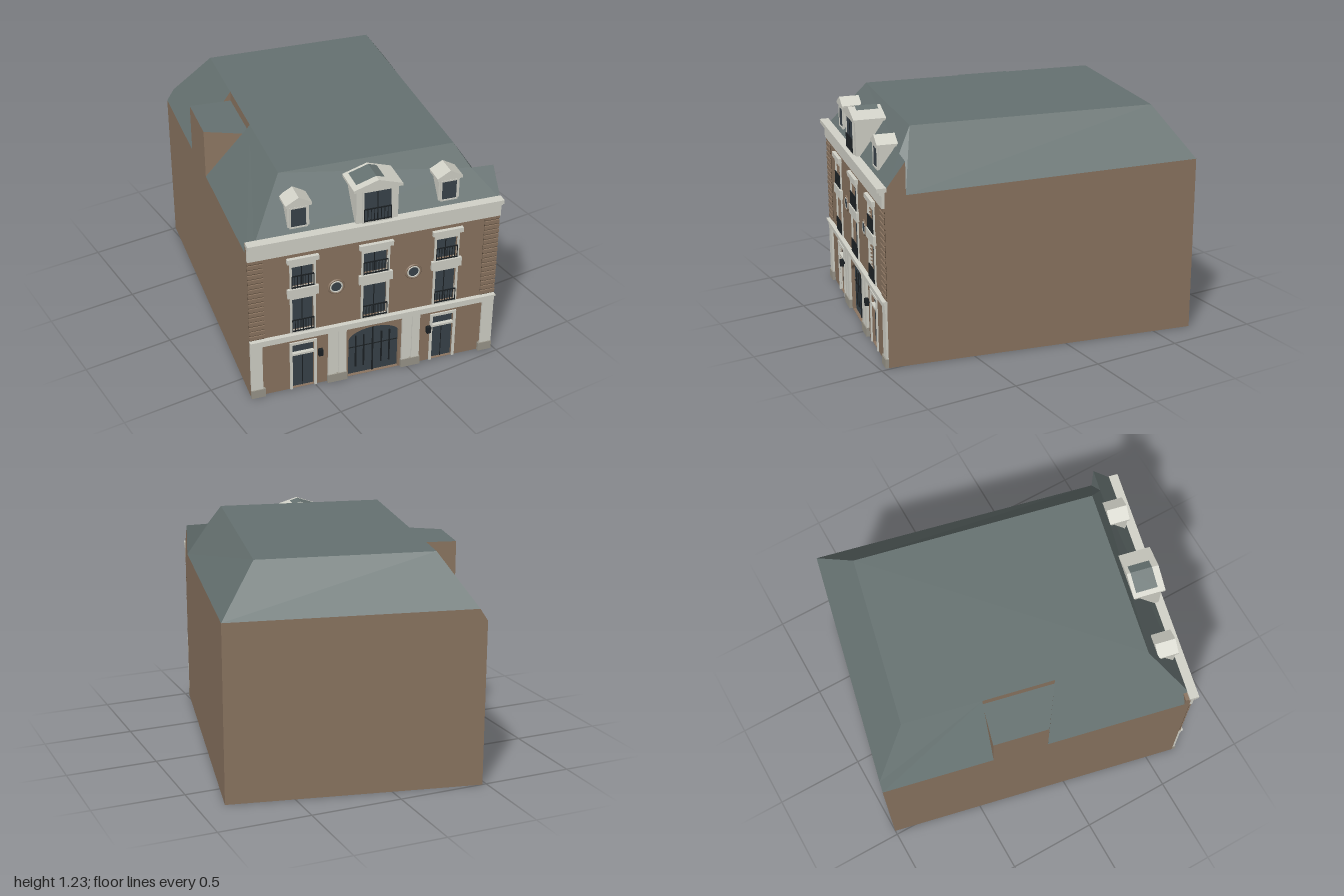
import * as THREE from 'three';

const mat = (name, color, side = THREE.FrontSide) =>
  new THREE.MeshStandardMaterial({ name, color, side });

export function createModel() {
  const brick = mat('brick', 0x8b7561, THREE.DoubleSide);
  const joint = mat('dark brick joint', 0x574838);
  const slate = mat('slate', 0x667271, THREE.DoubleSide);
  const cream = mat('cream stone', 0xd3d3c9);
  const stone = mat('grey plinth stone', 0x9b978b);
  const glass = mat('window glass', 0x3a444b);
  const gateWood = mat('gate wood', 0x39434a);
  const iron = mat('black iron', 0x1c2124);

  const model = new THREE.Group();
  const house = new THREE.Group();
  house.name = 'townHouse';
  house.rotation.y = -12.5 * Math.PI / 180;
  model.add(house);

  const add = (name, geo, m, x = 0, y = 0, z = 0) => {
    const mesh = new THREE.Mesh(geo, m);
    mesh.name = name;
    mesh.position.set(x, y, z);
    house.add(mesh);
    return mesh;
  };
  const box = (name, m, x0, x1, y0, y1, z0, z1) =>
    add(name, new THREE.BoxGeometry(x1 - x0, y1 - y0, z1 - z0), m,
      (x0 + x1) / 2, (y0 + y1) / 2, (z0 + z1) / 2);
  // Flat polygon, triangulated as a fan from its first corner
  const poly = (name, m, pts) => {
    const v = [];
    for (let i = 1; i < pts.length - 1; i++) v.push(...pts[0], ...pts[i], ...pts[i + 1]);
    const g = new THREE.BufferGeometry();
    g.setAttribute('position', new THREE.Float32BufferAttribute(v, 3));
    g.computeVertexNormals();
    return add(name, g, m);
  };
  const outline = (pts) => new THREE.Shape(pts.map(([x, y]) => new THREE.Vector2(x, y)));
  const rect = (x, hw, y0, y1) => outline([[x - hw, y0], [x + hw, y0], [x + hw, y1], [x - hw, y1]]);
  const extrude = (name, m, shape, z0, z1) =>
    add(name, new THREE.ExtrudeGeometry(shape, { depth: z1 - z0, bevelEnabled: false, curveSegments: 16 }), m, 0, 0, z0);

  const W = 0.682, F = 0.825, B = -0.875, T = 1.23;

  // Shell corners shared by walls and roof
  const topFR = [0.485, T, 0.637], topBR = [0.49, T, -0.69];
  const topBL = [-0.455, T, -0.69], topFL = [-0.455, T, 0.637];
  const eaveBR = [W, 0.965, B], eaveBL = [-0.64, 0.965, B], lowBL = [-W, 0.9, B];
  const eaveFL = [-0.64, 0.96, F], lowFL = [-W, 0.9, F], eaveFR = [W, 0.96, F];
  const stepLow = [W, 0.93, 0.715], stepTop = [W, 1.105, 0.715], stepIn = [0.557, 1.11, 0.713];

  // Side and back walls
  poly('rightWall', brick, [stepLow, stepTop, eaveFR, [W, 0, F], [W, 0, B], eaveBR]);
  poly('leftWall', brick, [[-W, 0, B], [-W, 0, F], lowFL, lowBL]);
  poly('backWall', brick, [[W, 0, B], [-W, 0, B], lowBL, eaveBL, eaveBR]);

  // Mansard roof, its left slope split around the side stair block
  const nb = [-W, 0.9, -0.27], nbTop = [-0.455, T, -0.26];
  const nf = [-W, 0.9, 0.03], nfTop = [-0.455, T, 0.129];
  poly('roofTop', slate, [topFL, topFR, topBR, topBL]);
  poly('roofFront', slate, [stepIn, topFR, topFL, eaveFL, eaveFR, stepTop]);
  poly('roofRight', slate, [stepLow, eaveBR, topBR, topFR, stepIn, stepTop]);
  poly('roofBack', slate, [topBL, topBR, eaveBR, eaveBL]);
  poly('roofLeftRear', slate, [nbTop, topBL, eaveBL, lowBL, nb]);
  poly('roofLeftFront', slate, [nfTop, nf, lowFL, eaveFL, topFL]);

  // Side block breaking through the left slope
  const H = 1.175;
  const bOut = [-W, H, -0.27], fOut = [-W, H, 0.03], bIn = [-0.455, H, -0.26], fIn = [-0.455, H, 0.129];
  poly('sideBlockWall', brick, [nb, nf, fOut, bOut]);
  poly('sideBlockRear', brick, [nb, bOut, bIn, nbTop]);
  poly('sideBlockFront', brick, [nf, nfTop, fIn, fOut]);
  poly('sideBlockTop', slate, [bOut, fOut, fIn, bIn]);
  poly('sideBlockInnerWall', brick, [bIn, fIn, nfTop, nbTop]);

  // Front wall with openings
  const wall = rect(0, W, 0, 0.96);
  const gateShape = () => {
    const s = new THREE.Shape();
    s.moveTo(-0.142, 0.001);
    s.lineTo(0.142, 0.001);
    s.lineTo(0.142, 0.235);
    s.absellipse(0, 0.235, 0.142, 0.068, 0, Math.PI, false);
    s.lineTo(-0.142, 0.001);
    return s;
  };
  wall.holes.push(gateShape());
  const bays = [[-0.393, 0.058], [0, 0.066], [0.393, 0.058]];
  for (const [x, hw] of bays) wall.holes.push(rect(x, hw, 0.38, 0.585), rect(x, hw, 0.655, 0.785));
  for (const x of [-0.393, 0.393]) wall.holes.push(rect(x, 0.06, 0.001, 0.29));
  extrude('frontWall', brick, wall, F - 0.03, F);

  // Tall upper windows, surrounds and balcony rails
  const rail = (x, hw, y0, y1, z) => {
    for (const y of [y0 + 0.006, y1]) box('balconyRail', iron, x - hw, x + hw, y - 0.003, y + 0.003, z, z + 0.005);
    const n = 8;
    for (let i = 0; i <= n; i++) {
      const bx = x - hw + 2 * hw * i / n;
      box('balconyBar', iron, bx - 0.0015, bx + 0.0015, y0, y1, z, z + 0.004);
    }
  };
  for (const [x, hw] of bays) {
    for (const [y0, y1] of [[0.38, 0.585], [0.655, 0.785]]) {
      box('windowGlass', glass, x - hw, x + hw, y0, y1, F - 0.022, F - 0.016);
      box('windowMullion', iron, x - 0.002, x + 0.002, y0, y1, F - 0.016, F - 0.012);
      const frame = rect(x, hw + 0.011, y0 - 0.008, y1 + 0.03);
      frame.holes.push(rect(x, hw, y0, y1));
      extrude('windowSurround', cream, frame, F - 0.01, F + 0.008);
      rail(x, hw, y0, y0 + 0.075, F + 0.008);
    }
    box('windowApron', cream, x - hw - 0.026, x + hw + 0.026, 0.6, 0.652, F, F + 0.016);
    box('windowLintel', cream, x - hw - 0.026, x + hw + 0.026, 0.813, 0.84, F, F + 0.02);
  }

  // Round windows
  for (const x of [-0.212, 0.212]) {
    add('roundWindowOuterRing', new THREE.TorusGeometry(0.04, 0.006, 8, 28), brick, x, 0.61, F);
    add('roundWindowRing', new THREE.TorusGeometry(0.031, 0.006, 8, 28), cream, x, 0.61, F);
    add('roundWindowGlass', new THREE.CylinderGeometry(0.029, 0.029, 0.004, 28), glass, x, 0.61, F + 0.002)
      .rotation.x = Math.PI / 2;
  }

  // Side doors with transoms, and wall lanterns
  for (const s of [-1, 1]) {
    const x = s * 0.393;
    box('door', gateWood, x - 0.06, x + 0.06, 0, 0.29, F - 0.022, F - 0.016);
    box('doorGap', iron, x - 0.0015, x + 0.0015, 0, 0.218, F - 0.016, F - 0.012);
    box('doorTransom', cream, x - 0.06, x + 0.06, 0.218, 0.23, F - 0.016, F + 0.004);
    const frame = outline([[x - 0.074, 0], [x - 0.06, 0], [x - 0.06, 0.29], [x + 0.06, 0.29],
      [x + 0.06, 0], [x + 0.074, 0], [x + 0.074, 0.305], [x - 0.074, 0.305]]);
    extrude('doorFrame', cream, frame, F - 0.01, F + 0.008);
    const lx = s * 0.304;
    box('lantern', iron, lx - 0.012, lx + 0.012, 0.203, 0.242, F + 0.012, F + 0.032);
    box('lanternBracket', iron, lx - 0.004, lx + 0.004, 0.215, 0.225, F, F + 0.014);
  }

  // Arched carriage gate
  extrude('gate', gateWood, gateShape(), F - 0.024, F - 0.018);
  for (const x of [-0.095, -0.05, 0, 0.05, 0.095]) {
    const h = x === 0 ? 0.3 : 0.25;
    box('gateSlat', iron, x - 0.004, x + 0.004, x === 0 ? 0 : 0.045, h, F - 0.018, F - 0.013);
  }
  box('gateRail', iron, -0.142, 0.142, 0.176, 0.18, F - 0.018, F - 0.014);

  // Ground floor pilasters with plinths, and rusticated corners above
  for (const s of [-1, 1]) {
    const strip = (name, m, a, b, y0, y1, d) =>
      box(name, m, Math.min(s * a, s * b), Math.max(s * a, s * b), y0, y1, F, F + d);
    strip('cornerPilaster', cream, 0.617, W, 0.05, 0.33, 0.012);
    strip('cornerPlinth', stone, 0.605, W + 0.001, 0, 0.05, 0.018);
    strip('pilasterBack', cream, 0.157, 0.257, 0.05, 0.33, 0.006);
    strip('pilaster', cream, 0.157, 0.2, 0.05, 0.33, 0.014);
    strip('pilaster', cream, 0.213, 0.257, 0.05, 0.33, 0.014);
    strip('pilasterPlinth', stone, 0.153, 0.262, 0, 0.05, 0.019);
    strip('quoinJoint', joint, 0.6, W, 0.37, 0.87, 0.002);
    const rows = 17, step = 0.5 / rows;
    for (let i = 0; i < rows; i++)
      strip('quoinBlock', brick, 0.6, W, 0.37 + i * step + 0.009, 0.37 + (i + 1) * step, 0.01);
  }

  // Stone band and main cornice
  box('stoneBand', cream, -W, W, 0.328, 0.36, F, F + 0.016);
  box('bandLedge', cream, -W - 0.001, W + 0.001, 0.36, 0.37, F, F + 0.026);
  box('corniceFrieze', cream, -W - 0.001, W + 0.001, 0.87, 0.94, F, F + 0.016);
  box('corniceMoulding', cream, -W - 0.002, W + 0.002, 0.94, 0.957, F, F + 0.028);
  box('corniceTop', cream, -W - 0.004, W + 0.004, 0.955, 0.977, F - 0.01, F + 0.041);

  // Gabled dormers
  const dormer = (x, d) => {
    const { hw, over, back, front, y0, eave, apex, gw, g0, g1 } = d;
    const face = outline([[x - hw, y0], [x + hw, y0], [x + hw, eave], [x, apex - 0.015], [x - hw, eave]]);
    extrude('dormerBody', cream, face, back, front);
    const roof = outline([[x - over, eave - 0.006], [x + over, eave - 0.006],
      [x + over, eave + 0.008], [x, apex], [x - over, eave + 0.008]]);
    extrude('dormerPediment', cream, roof, back, front + 0.012);
    box('dormerGlass', glass, x - gw, x + gw, g0, g1, front, front + 0.004);
    const frame = rect(x, gw + 0.008, g0 - 0.008, g1 + 0.008);
    frame.holes.push(rect(x, gw, g0, g1));
    extrude('dormerWindowFrame', cream, frame, front, front + 0.008);
  };
  for (const x of [-0.402, 0.402])
    dormer(x, { hw: 0.057, over: 0.069, back: 0.695, front: 0.795, y0: 0.985, eave: 1.128, apex: 1.175, gw: 0.04, g0: 1.005, g1: 1.11 });
  dormer(0, { hw: 0.112, over: 0.13, back: 0.67, front: 0.835, y0: 0.96, eave: 1.172, apex: 1.222, gw: 0.072, g0: 0.985, g1: 1.157 });
  rail(0, 0.072, 0.985, 1.06, 0.843);
  box('dormerMullion', iron, -0.002, 0.002, 0.985, 1.157, 0.839, 0.842);

  // Slate covering on the large dormer
  const ridge = (x) => 1.225 - Math.abs(x) * 0.042 / 0.13;
  const cover = (a, b) => poly('dormerSlate', slate,
    [[a, ridge(a), 0.81], [b, ridge(b), 0.81], [b, ridge(b), 0.69], [a, ridge(a), 0.69]]);
  cover(-0.105, 0);
  cover(0, 0.045);

  return model;
}
